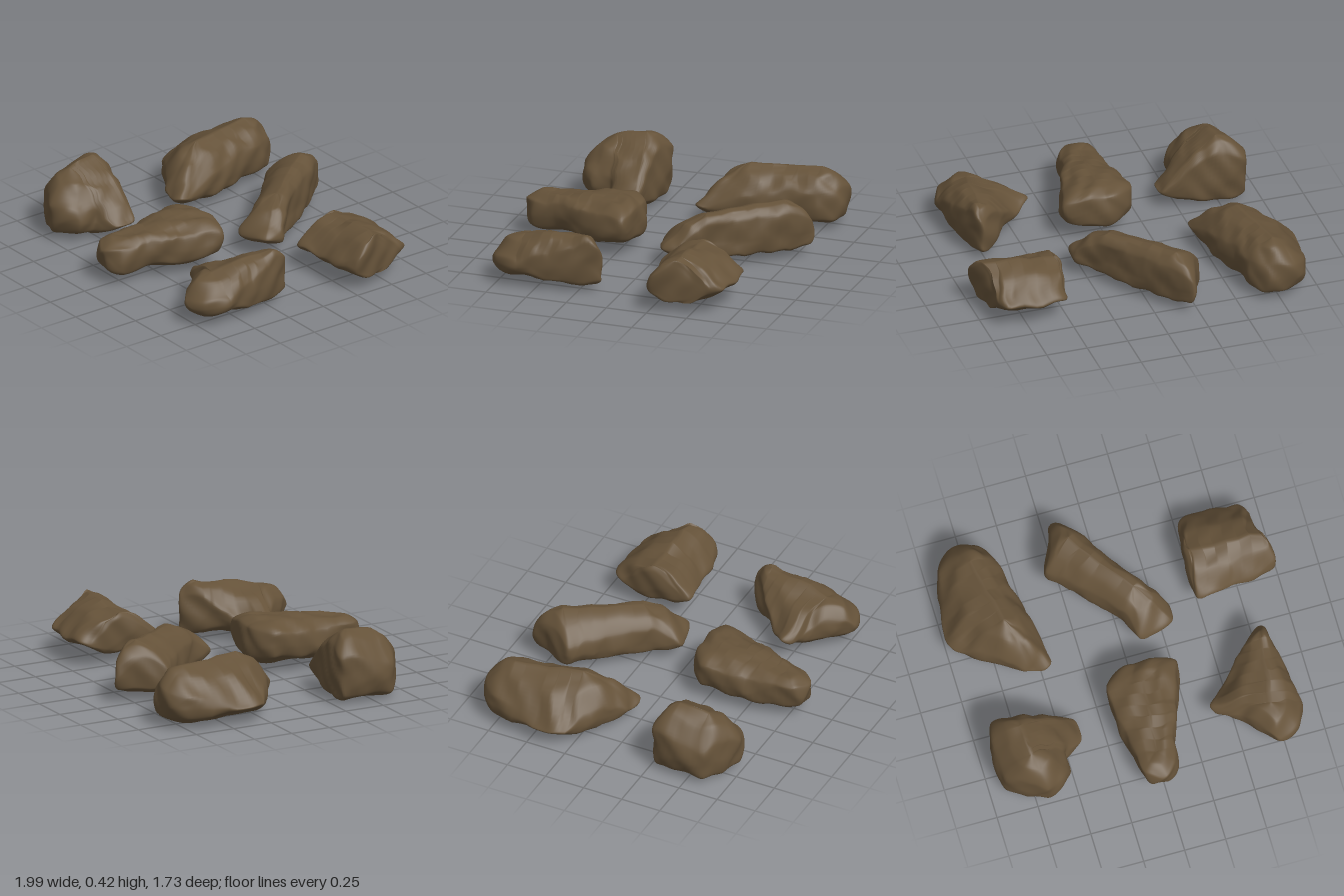
import * as THREE from 'three';
import { mergeVertices } from 'three/addons/utils/BufferGeometryUtils.js';

const AROUND = 96, ROWS = 40;
const stone = new THREE.MeshStandardMaterial({ color: 0x655239 });
stone.name = 'brown stone';

// Smooth bumps with a few sharp creases
function weather(p) {
  const { x, y, z } = p;
  const crease = Math.abs(Math.sin(9 * x + 13 * y - 7 * z)) - 0.6;
  const chip = Math.abs(Math.sin(21 * x - 17 * y + 12 * z)) - 0.6;
  p.x += 0.006 * Math.sin(17 * y + 15 * z + 1) + 0.004 * Math.sin(37 * z + 31 * y) + 0.006 * crease;
  p.y += 0.006 * Math.sin(16 * x - 14 * z + 2) + 0.004 * Math.sin(35 * x + 29 * z) + 0.008 * crease + 0.006 * chip;
  p.z += 0.006 * Math.sin(18 * x + 16 * y + 3) + 0.004 * Math.sin(33 * y - 36 * x) - 0.006 * chip;
  return p;
}

// outline: x, z pairs seen from above, clockwise. The rock rises to a crest line from
// start to end; its upper edge drops from the crest by slope, its underside is at keel.
function makeRock(name, { outline, start, end, slope, keel }) {
  const corners = [];
  for (let k = 0; k < outline.length; k += 2) corners.push(new THREE.Vector3(outline[k], 0, outline[k + 1]));
  const rim = new THREE.CatmullRomCurve3(corners, true, 'catmullrom', 0.35);
  const crest = new THREE.Line3(new THREE.Vector3(...start), new THREE.Vector3(...end));
  const flatCrest = new THREE.Line3(crest.start.clone().setY(0), crest.end.clone().setY(0));
  const positions = [], index = [];

  for (let i = 0; i < AROUND; i++) {
    const edge = rim.getPoint(i / AROUND);
    // Both sides meet at the same few crest points
    const along = Math.round(flatCrest.closestPointToPointParameter(edge, true) * 6) / 6;
    const top = crest.at(along, new THREE.Vector3());
    const distance = Math.hypot(edge.x - top.x, edge.z - top.z);
    const low = keel + 0.02 + 0.15 * distance;
    const high = Math.max(low + 0.05, top.y - slope * distance);
    const at = (s, y) => new THREE.Vector3(
      THREE.MathUtils.lerp(top.x, edge.x, s), y, THREE.MathUtils.lerp(top.z, edge.z, s));
    // Section from the underside, out over the edge and up to the crest
    const section = new THREE.CatmullRomCurve3([
      at(0, keel), at(0.55, keel * 0.75 + low * 0.25), at(0.91, low),
      at(1, low * 0.55 + high * 0.45), at(0.93, high),
      at(0.5, high * 0.43 + top.y * 0.57 + 0.015), at(0, top.y),
    ], false, 'catmullrom', 0.35);
    for (let j = 0; j <= ROWS; j++) positions.push(...weather(section.getPoint(j / ROWS)).toArray());
  }

  for (let i = 0; i < AROUND; i++) {
    for (let j = 0; j < ROWS; j++) {
      const a = i * (ROWS + 1) + j, b = ((i + 1) % AROUND) * (ROWS + 1) + j;
      index.push(a, a + 1, b, b, a + 1, b + 1);
    }
  }
  const shell = new THREE.BufferGeometry();
  shell.setAttribute('position', new THREE.Float32BufferAttribute(positions, 3));
  shell.setIndex(index);
  const geometry = mergeVertices(shell);
  geometry.computeVertexNormals();
  const mesh = new THREE.Mesh(geometry, stone);
  mesh.name = name;
  return mesh;
}

export function createModel() {
  const group = new THREE.Group();
  group.name = 'rocks';

  // Long boulder
  group.add(makeRock('backRightRock', {
    outline: [-0.93, -0.76, -0.84, -0.855, -0.67, -0.85, -0.58, -0.74, -0.56, -0.58, -0.49, -0.38,
      -0.45, -0.05, -0.62, -0.05, -0.92, -0.25, -1, -0.39],
    start: [-0.74, 0.355, -0.71], end: [-0.66, 0.35, -0.3], slope: 0.75, keel: 0.02,
  }));
  // Slanting shard
  group.add(makeRock('backMiddleRock', {
    outline: [-0.335, -0.57, -0.25, -0.75, -0.2, -0.86, 0, -0.62, 0.2, -0.33, 0.32, -0.2,
      0.3, -0.09, 0.1, -0.05, 0.03, -0.2, -0.24, -0.49],
    start: [-0.15, 0.345, -0.68], end: [0.13, 0.31, -0.3], slope: 0.6, keel: 0.04,
  }));
  // Wedge with a gable at each end
  group.add(makeRock('backLeftRock', {
    outline: [0.49, -0.6, 0.55, -0.69, 0.88, -0.68, 0.93, -0.5, 0.985, -0.25, 0.72, -0.205,
      0.49, -0.19, 0.485, -0.42],
    start: [0.52, 0.31, -0.43], end: [0.94, 0.33, -0.41], slope: 0.7, keel: 0.07,
  }));
  // Tall peaked rock
  group.add(makeRock('frontRightRock', {
    outline: [-0.91, 0.28, -0.66, 0.29, -0.42, 0.33, -0.405, 0.47, -0.51, 0.53, -0.53, 0.65,
      -0.68, 0.75, -0.92, 0.6],
    start: [-0.76, 0.425, 0.38], end: [-0.74, 0.39, 0.55], slope: 0.8, keel: 0.005,
  }));
  // Smooth tapering block
  group.add(makeRock('frontMiddleRock', {
    outline: [-0.19, 0.22, -0.01, 0.125, 0.25, 0.18, 0.19, 0.45, 0.11, 0.64, 0.09, 0.79,
      0.01, 0.865, -0.11, 0.82, -0.17, 0.5],
    start: [0.03, 0.32, 0.28], end: [-0.02, 0.27, 0.7], slope: 0.28, keel: 0.05,
  }));
  // Three-cornered rock
  group.add(makeRock('frontLeftRock', {
    outline: [0.78, 0.11, 0.87, 0.4, 0.9, 0.61, 0.83, 0.75, 0.7, 0.8, 0.53, 0.6, 0.38, 0.48, 0.62, 0.24],
    start: [0.77, 0.345, 0.22], end: [0.71, 0.3, 0.6], slope: 0.65, keel: 0.04,
  }));

  // Rest the lowest rock on the ground
  const floor = new THREE.Box3().setFromObject(group).min.y;
  for (const mesh of group.children) mesh.geometry.translate(0, -floor, 0);
  return group;
}
